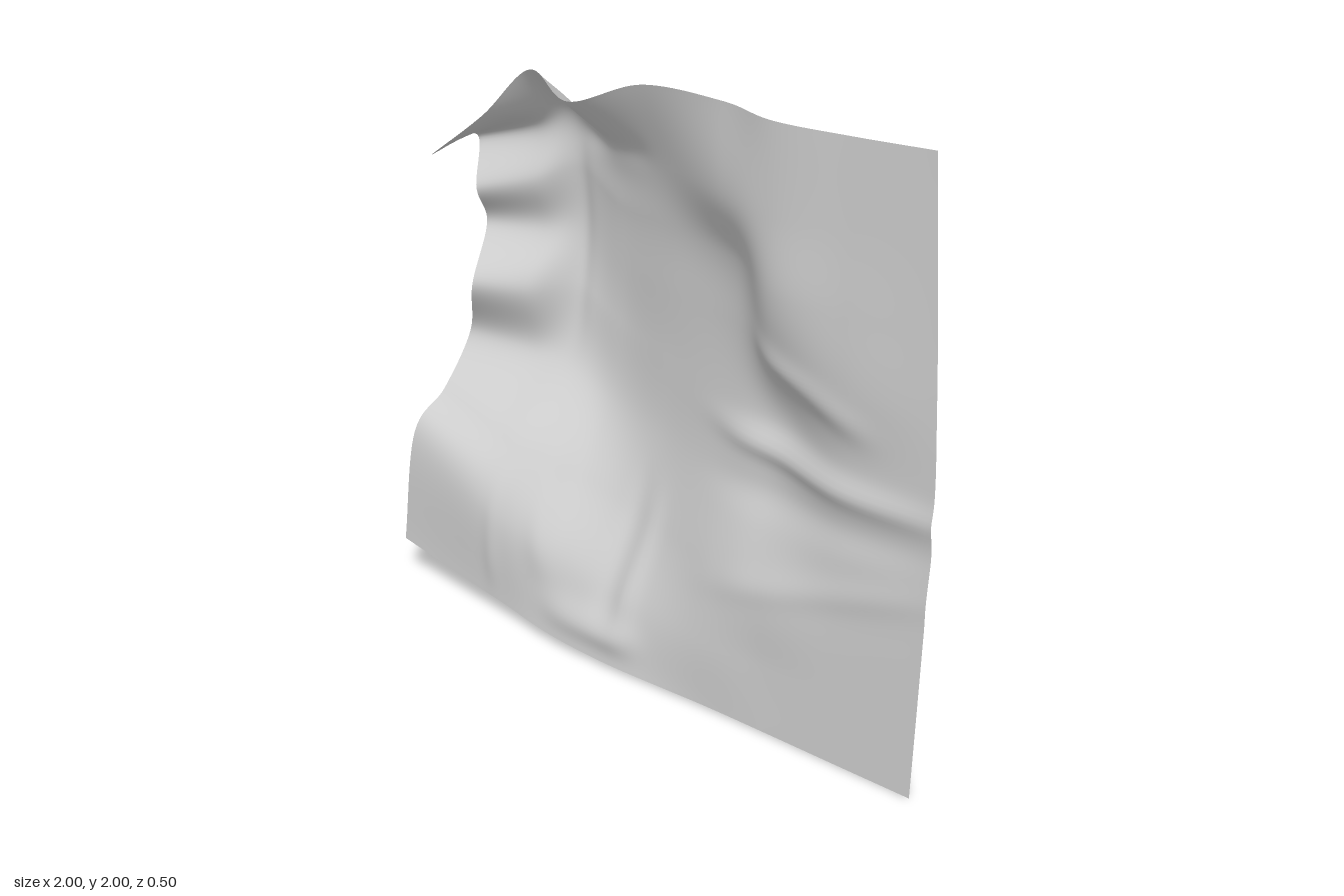
import * as THREE from 'three';

const lerp = THREE.MathUtils.lerp;

// Control net: nine columns from the left hem to the right hem
const colX = [-0.9, -0.7, -0.56, -0.36, -0.1, 0.24, 0.45, 0.7, 0.97];
const hemLow = [0.175, 0.115, 0.085, 0.055, 0.03, 0.02, 0.015, 0.01, 0.005];
const hemTop = [1.59, 1.72, 1.86, 1.82, 1.92, 1.965, 1.975, 1.985, 2.0];

// Row spacing along the gathered side and along the flat side
const gathered = [0, 0.3, 0.385, 0.49, 0.645, 0.755, 0.86, 0.965, 1];
const relaxed = [0, 0.12, 0.25, 0.385, 0.52, 0.635, 0.745, 0.86, 1];
const gather = [1, 0.65, 0.35, 0.2, 0, 0, 0, 0, 0];

// Sideways wander of the left and right hems, row by row
const leftSway = [-0.1, -0.035, -0.01, -0.02, 0.065, 0.015, 0.04, -0.01, 0.09];
const rightSway = [0.01, 0.015, 0.02, 0.025, 0.027, 0.017, 0.005, -0.01, -0.03];
const leftPull = [1, 0.3, 0, 0, 0, 0, 0, 0, 0];

// Depth of each column, bottom to top
const depth = [
  [0.212, 0.2, 0.07, -0.08, -0.01, -0.15, -0.08, -0.15, 0.17],
  [0.215, 0.21, 0.08, -0.135, -0.1, -0.21, -0.16, -0.2, 0.08],
  [0.22, 0.205, 0.08, -0.16, -0.215, -0.25, -0.235, -0.21, -0.01],
  [0.235, 0.18, 0.025, -0.13, -0.18, -0.195, -0.19, -0.15, 0.06],
  [0.23, 0.18, 0.05, -0.045, -0.08, -0.09, -0.09, -0.05, 0.05],
  [0.215, 0.215, 0.175, 0.09, 0.045, 0.035, 0.05, 0.14, 0.135],
  [0.212, 0.212, 0.212, 0.135, 0.09, 0.17, 0.212, 0.212, 0.21],
  [0.212, 0.212, 0.212, 0.2, 0.19, 0.22, 0.222, 0.215, 0.212],
  [0.212, 0.212, 0.212, 0.212, 0.212, 0.212, 0.212, 0.212, 0.212],
];

// Soft creases fading at both ends: start x, y, end x, y, width, height at start and at end
const folds = [
  [0.2, 0.93, 1.2, 0.94, 0.045, 0.045, 0.004],
  [0.2, 0.77, 1.1, 0.84, 0.06, -0.02, -0.008],
  [0.35, 1.28, 0.8, 1.13, 0.05, 0.02, 0.012],
  [0.2, 0.45, 1.05, 0.7, 0.05, 0.008, 0.008],
  [-0.4, 0.15, -0.02, 0.13, 0.06, 0.015, 0.035],
  [-0.09, 0.15, -0.05, 0.6, 0.035, 0.02, 0.008],
  [-0.17, 0.2, -0.13, 0.65, 0.04, -0.015, -0.006],
  [-0.61, 0.15, -0.59, 0.55, 0.03, 0.01, 0.005],
  [-0.48, 0.72, -0.4, 0.25, 0.05, 0.01, 0.02],
  [-0.556, 0.88, -0.556, 1.62, 0.035, -0.012, -0.012],
  [-0.55, 1.6, -0.15, 1.66, 0.05, -0.015, -0.008],
];

function foldOffset(x, y) {
  let sum = 0;
  for (const [x1, y1, x2, y2, width, a, b] of folds) {
    const dx = x2 - x1, dy = y2 - y1, len = Math.hypot(dx, dy);
    const t = ((x - x1) * dx + (y - y1) * dy) / (len * len);
    const across = ((x - x1) * dy - (y - y1) * dx) / len / width;
    const height = lerp(a, b, THREE.MathUtils.clamp(t, 0, 1));
    sum += height * Math.exp(-(across ** 2) - 1.5 * (2 * t - 1) ** 4);
  }
  return sum;
}

const spline = (points) => new THREE.CatmullRomCurve3(points, false, 'catmullrom', 0.5);

export function createModel() {
  const N = 120;
  const columns = depth.map((zs, i) => spline(zs.map((z, j) => {
    const f = lerp(relaxed[j], gathered[j], gather[i]);
    const x = colX[i] + leftSway[j] * leftPull[i] + (i === 8 ? rightSway[j] : 0);
    return new THREE.Vector3(x, lerp(hemLow[i], hemTop[i], f), z);
  })));

  // Loft rows across the columns, then press in the creases
  const geometry = new THREE.PlaneGeometry(2, 2, N, N);
  const pos = geometry.attributes.position;
  for (let r = 0; r <= N; r++) {
    const row = spline(columns.map((c) => c.getPoint(1 - r / N)));
    for (let c = 0; c <= N; c++) {
      const p = row.getPoint(c / N);
      pos.setXYZ(r * (N + 1) + c, p.x, p.y, p.z + foldOffset(p.x, p.y));
    }
  }
  geometry.computeVertexNormals();

  const cloth = new THREE.Mesh(geometry, new THREE.MeshStandardMaterial({ color: 0xcccccc, side: THREE.DoubleSide }));
  cloth.name = 'drapedCloth';
  const group = new THREE.Group();
  group.name = 'cloth';
  group.add(cloth);
  return group;
}
